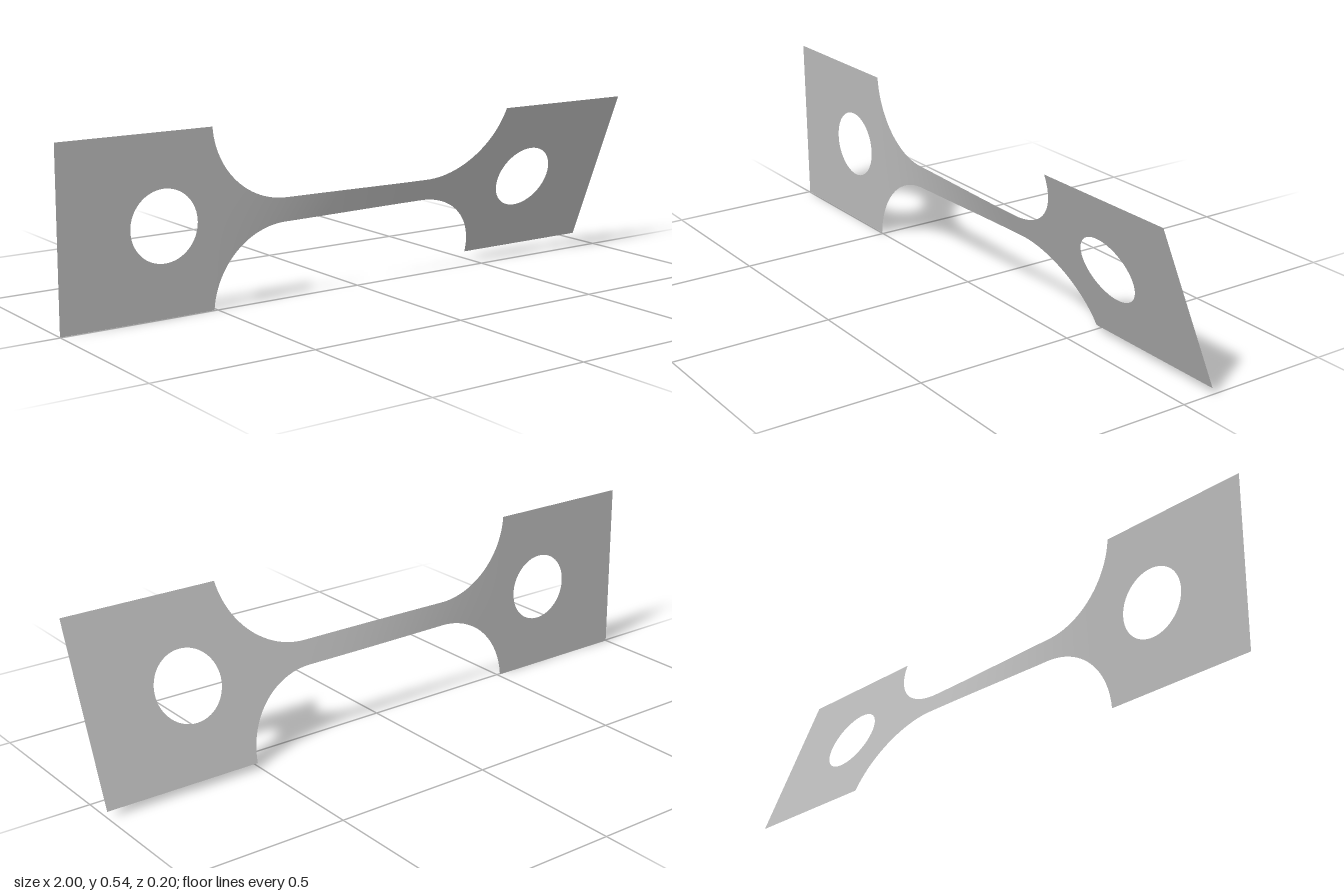
import * as THREE from 'three';

const AXIS_Y = 0.271;       // height of the twist axis
const HALF_TAB = 0.27;      // half height of the end tabs
const HALF_NECK = 0.0375;   // half height of the neck
const TAB_X = 0.51;         // inner edge of the tabs
const FILLET_R = 0.25;
const HOLE_X = 0.67, HOLE_R = 0.108;
const START_ANGLE = 0.012, END_ANGLE = 0.381;

// Twist about the x axis, growing along the neck
const twistAt = (x) =>
  START_ANGLE + (END_ANGLE - START_ANGLE) * THREE.MathUtils.smoothstep(x, -TAB_X, 0.3);

function twist(geometry) {
  const p = geometry.attributes.position;
  for (let i = 0; i < p.count; i++) {
    const x = p.getX(i), y = p.getY(i), a = twistAt(x);
    p.setXYZ(i, x, AXIS_Y + y * Math.cos(a), y * Math.sin(a));
  }
  geometry.computeVertexNormals();
  return geometry;
}

// Flat end tab with a round hole
function tabGeometry(side) {
  const inner = side * TAB_X, outer = side;
  const shape = new THREE.Shape();
  shape.moveTo(inner, -HALF_TAB);
  shape.lineTo(outer, -HALF_TAB);
  shape.lineTo(outer, HALF_TAB);
  shape.lineTo(inner, HALF_TAB);
  shape.closePath();
  const hole = new THREE.Path();
  hole.absarc(side * HOLE_X, 0, HOLE_R, 0, Math.PI * 2, true);
  shape.holes.push(hole);
  return twist(new THREE.ShapeGeometry(shape, 32));
}

// Neck columns: a fillet arc on each side joined by a straight run
function neckColumns() {
  const left = [];
  const first = Math.asin((HALF_NECK + FILLET_R - HALF_TAB) / FILLET_R);
  const steps = 24;
  for (let i = 0; i <= steps; i++) {
    const a = first + (Math.PI / 2 - first) * (i / steps);
    left.push([-TAB_X + FILLET_R * (Math.cos(first) - Math.cos(a)),
      HALF_NECK + FILLET_R * (1 - Math.sin(a))]);
  }
  const end = left[steps][0];
  const straight = [];
  for (let i = 1; i < 24; i++) straight.push([end * (1 - i / 12), HALF_NECK]);
  const right = left.map(([x, h]) => [-x, h]).reverse();
  return [...left, ...straight, ...right];
}

function neckGeometry() {
  const columns = neckColumns(), rows = 12;
  const geometry = new THREE.PlaneGeometry(1, 1, columns.length - 1, rows);
  const p = geometry.attributes.position;
  for (let i = 0; i < p.count; i++) {
    const [x, half] = columns[i % columns.length];
    p.setXYZ(i, x, p.getY(i) * 2 * half, 0);
  }
  return twist(geometry);
}

export function createModel() {
  const metal = new THREE.MeshStandardMaterial({ color: 0xb8b8b8, side: THREE.DoubleSide });
  metal.name = 'grey metal';

  const group = new THREE.Group();
  group.name = 'twistedTestStrip';
  const add = (name, geometry) => {
    const mesh = new THREE.Mesh(geometry, metal);
    mesh.name = name;
    group.add(mesh);
  };
  add('rightTab', tabGeometry(-1));
  add('twistedNeck', neckGeometry());
  add('leftTab', tabGeometry(1));
  return group;
}
